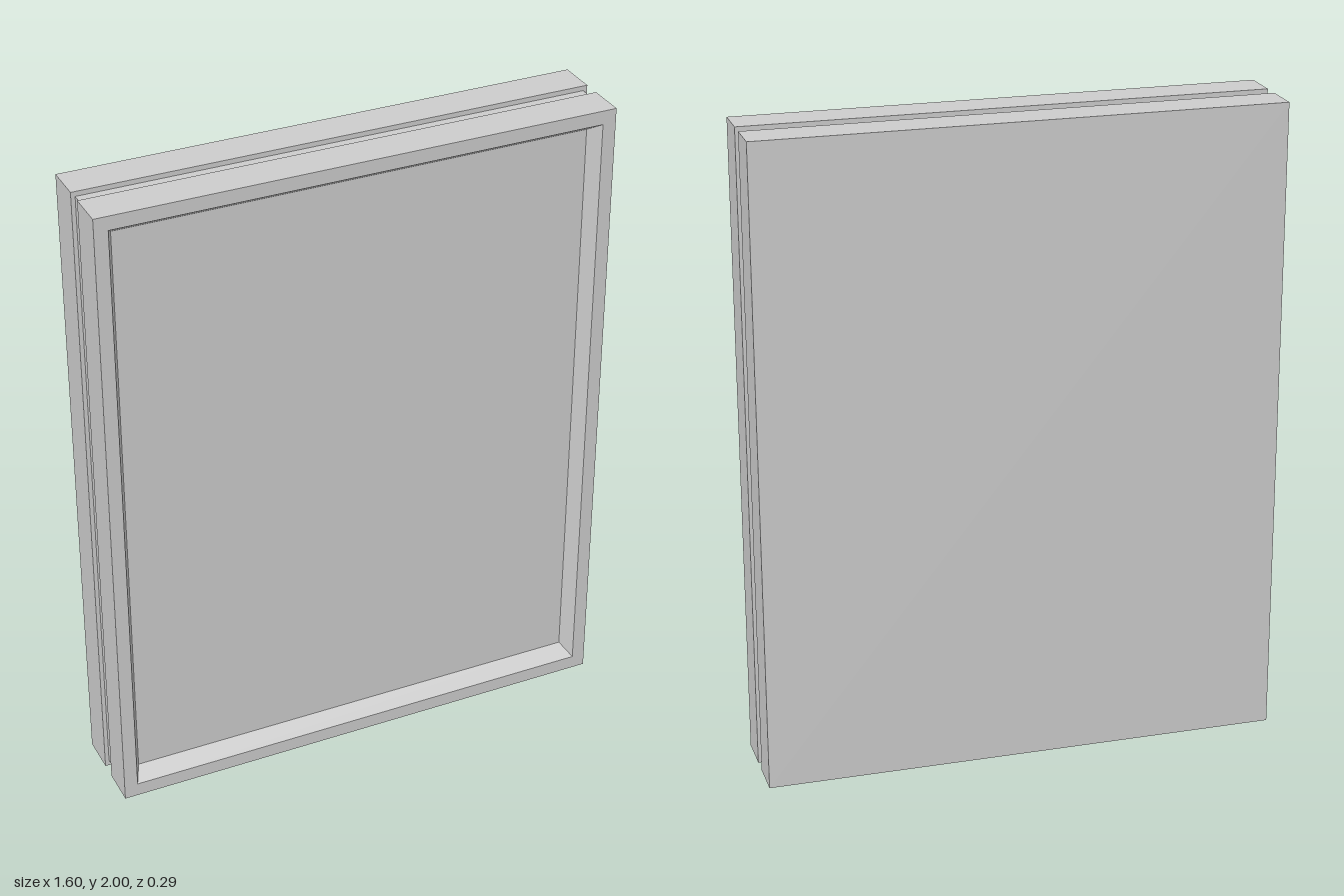
import * as THREE from 'three';

const material = new THREE.MeshStandardMaterial({ color: 0xcccccc, flatShading: true });

// Joins rectangular sections {w, h, z} into a closed, flat-faced solid.
function rectLoft(sections) {
  const loops = sections.map(({ w, h, z }) => [
    new THREE.Vector3(-w / 2, -h / 2, z),
    new THREE.Vector3(w / 2, -h / 2, z),
    new THREE.Vector3(w / 2, h / 2, z),
    new THREE.Vector3(-w / 2, h / 2, z),
  ]);
  const points = [];
  const quad = (a, b, c, d) => points.push(a, b, c, a, c, d);
  for (let s = 0; s < loops.length - 1; s++) {
    for (let i = 0; i < 4; i++) {
      const j = (i + 1) % 4;
      quad(loops[s][i], loops[s][j], loops[s + 1][j], loops[s + 1][i]);
    }
  }
  const [a, b, c, d] = loops[0];
  quad(d, c, b, a);
  quad(...loops[loops.length - 1]);
  const geometry = new THREE.BufferGeometry().setFromPoints(points);
  geometry.computeVertexNormals();
  return geometry;
}

export function createModel() {
  const group = new THREE.Group();
  const W = 1.6, H = 2, gap = 0.026, face = 0.145;

  const add = (name, geometry, y, z) => {
    const mesh = new THREE.Mesh(geometry, material);
    mesh.name = name;
    mesh.position.set(0, y, z);
    group.add(mesh);
  };

  // Front panel: flat border, then sloped walls down to a recessed floor
  add('frontFrame', rectLoft([
    { w: W, h: H, z: gap },
    { w: W, h: H, z: face },
    { w: W - 0.084, h: H - 0.086, z: face },
    { w: W - 0.132, h: H - 0.15, z: face - 0.05 },
  ]), H / 2, 0);

  // Thin core set in from the edges, leaving a groove all round
  add('core', new THREE.BoxGeometry(1.575, 1.966, gap * 2), 1.002, 0);

  // Plain back panel
  add('backPanel', new THREE.BoxGeometry(W, H, face - gap), H / 2, -(face + gap) / 2);

  return group;
}
